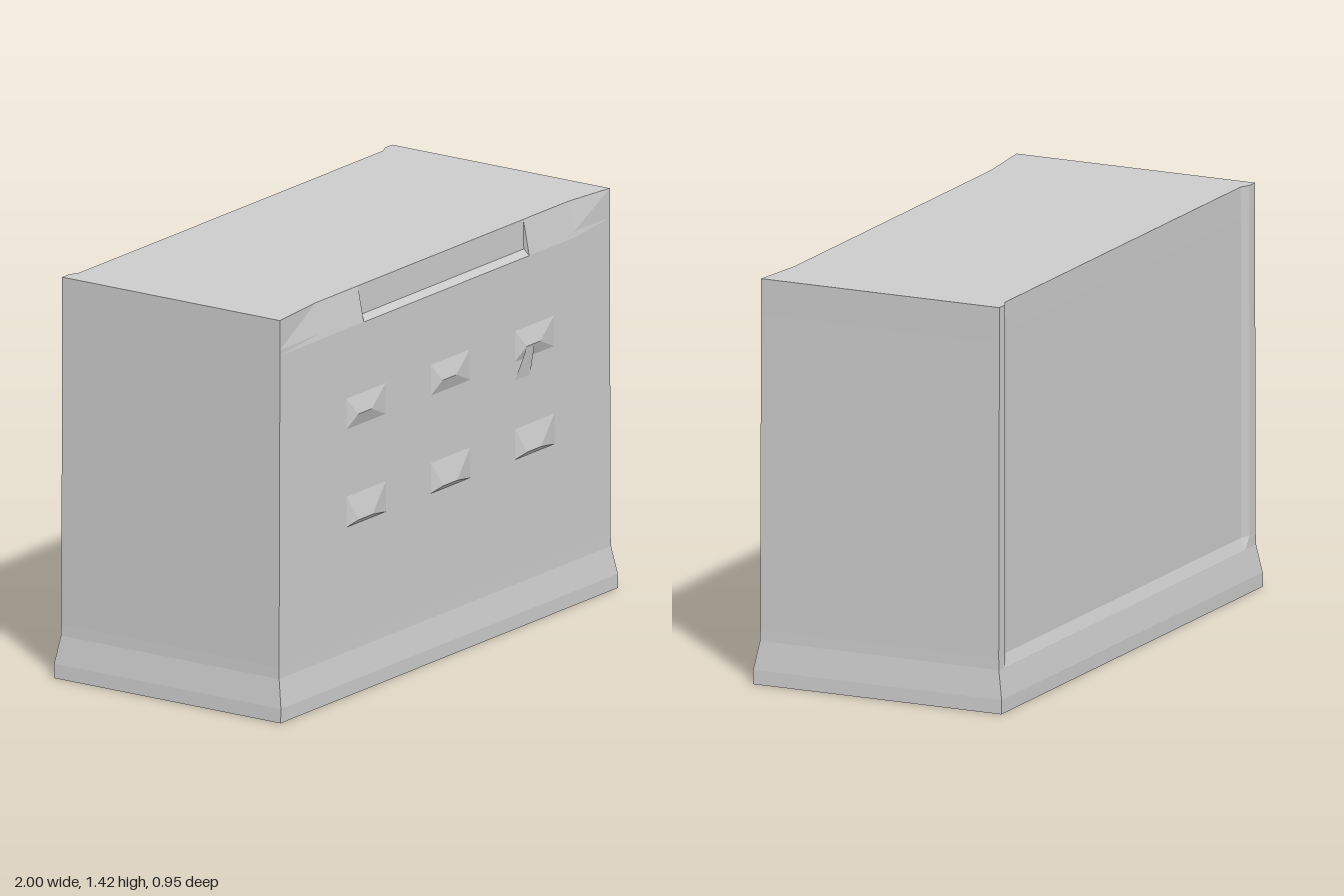
import * as THREE from 'three';

const material = new THREE.MeshStandardMaterial({ color: 0xcccccc, flatShading: true });

function makeMesh(name, triangles) {
  const geometry = new THREE.BufferGeometry();
  geometry.setAttribute('position', new THREE.Float32BufferAttribute(triangles.flat(2), 3));
  geometry.computeVertexNormals();
  const mesh = new THREE.Mesh(geometry, material);
  mesh.name = name;
  return mesh;
}

// One horizontal outline: w half width, d half depth, edge and notch front depth, back panel depth
function outline({ y, w, d, edge = d, notch = edge, back = d }) {
  return [
    [-w, d], [-0.73, edge], [-0.48, edge], [-0.48, notch],
    [0.5, notch], [0.5, edge], [0.77, edge], [w, d],
    [w, -d], [0.935, -d], [0.9, -back], [-0.9, -back], [-0.935, -d], [-w, -d],
  ].map(([x, z]) => [x, y, z]);
}

// Cabinet body: flared plinth, upright walls, sloped top front with a shallow notch, inset back
function createBody() {
  const rings = [
    { y: 0, w: 1, d: 0.474 },
    { y: 0.05, w: 0.998, d: 0.474 },
    { y: 0.15, w: 0.983, d: 0.456 },
    { y: 0.19, w: 0.982, d: 0.455, back: 0.44 },
    { y: 1.3, w: 0.977, d: 0.455, back: 0.44 },
    { y: 1.32, w: 0.977, d: 0.455, edge: 0.451, notch: 0.432, back: 0.44 },
    { y: 1.425, w: 0.977, d: 0.455, edge: 0.43, back: 0.438 },
  ].map(outline);
  const triangles = [];
  for (let r = 0; r < rings.length - 1; r++) {
    const low = rings[r], high = rings[r + 1], n = low.length;
    for (let i = 0; i < n; i++) {
      const j = (i + 1) % n;
      triangles.push([low[i], low[j], high[j]], [low[i], high[j], high[i]]);
    }
  }
  // Top and bottom caps
  const cap = (ring, up) => {
    const flat = ring.map(([x, , z]) => new THREE.Vector2(x, -z));
    for (const [a, b, c] of THREE.ShapeUtils.triangulateShape(flat, [])) {
      triangles.push(up ? [ring[a], ring[b], ring[c]] : [ring[a], ring[c], ring[b]]);
    }
  };
  cap(rings[rings.length - 1], true);
  cap(rings[0], false);
  return makeMesh('cabinetBody', triangles);
}

// Drawer pull: rectangular foot rising to a short off-centre ridge
function createPull(name, x, bottom, top, ridgeY, ridgeZ) {
  const z = 0.454;
  const a = [x, bottom, z], b = [x + 0.24, bottom, z];
  const c = [x + 0.24, top, z], d = [x, top, z];
  const e = [x + 0.045, ridgeY, ridgeZ], f = [x + 0.125, ridgeY, ridgeZ];
  return makeMesh(name, [
    [a, b, f], [a, f, e], [b, c, f], [c, d, e], [c, e, f], [d, a, e],
  ]);
}

export function createModel() {
  const group = new THREE.Group();
  group.name = 'cabinet';
  group.add(createBody());

  for (const x of [-0.585, -0.085, 0.413]) {
    group.add(createPull('upperPull', x, 0.94, 1.055, 0.99, 0.474));
    group.add(createPull('lowerPull', x, 0.593, 0.706, 0.615, 0.478));
  }

  // Tapered tail under one upper pull
  const p = [0.413, 0.87, 0.454], q = [0.505, 0.87, 0.454];
  const r = [0.505, 0.985, 0.473], s = [0.46, 0.985, 0.473], t = [0.505, 0.985, 0.454];
  group.add(makeMesh('pullTail', [[p, q, r], [p, r, s], [q, t, r]]));
  return group;
}
